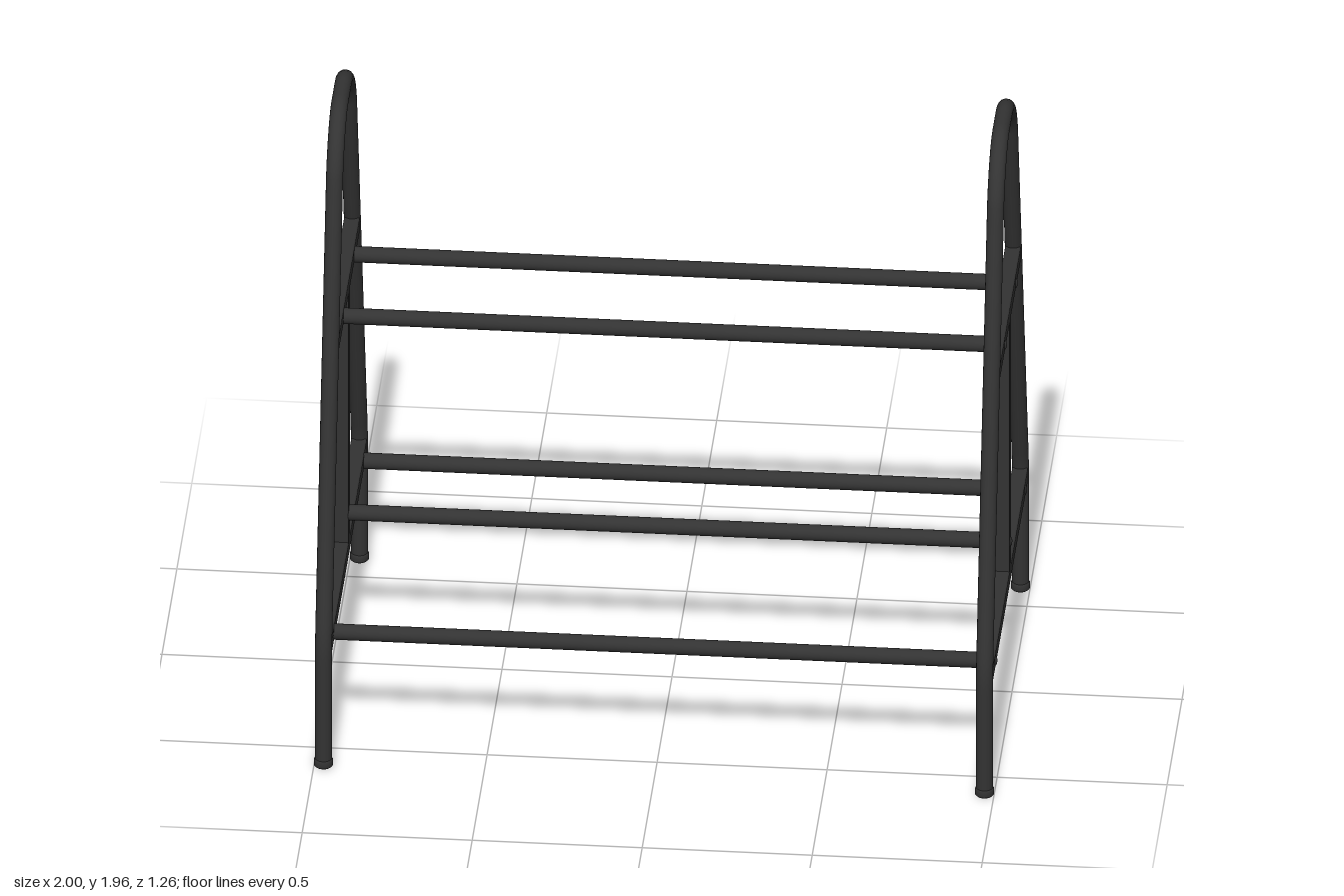
import * as THREE from 'three';
import { RoundedBoxGeometry } from 'three/addons/geometries/RoundedBoxGeometry.js';

const steel = new THREE.MeshStandardMaterial({ color: 0x333333 });
const SIDE_X = 0.972; // plane of each end frame
const R = 0.025;      // tube radius

function add(parent, name, geometry, x = 0, y = 0, z = 0) {
  const mesh = new THREE.Mesh(geometry, steel);
  mesh.name = name;
  mesh.position.set(x, y, z);
  parent.add(mesh);
  return mesh;
}

// Bent tube in the yz plane: leg, knee, slanted rail, arch, and the same mirrored
function hoopCurve() {
  const p = (z, y) => new THREE.Vector3(0, y, z);
  const path = new THREE.CurvePath();
  path.add(new THREE.LineCurve3(p(0.603, 0.01), p(0.603, 0.36)));
  path.add(new THREE.QuadraticBezierCurve3(p(0.603, 0.36), p(0.603, 0.42), p(0.587, 0.478)));
  path.add(new THREE.LineCurve3(p(0.587, 0.478), p(0.235, 1.77)));
  path.add(new THREE.CubicBezierCurve3(p(0.235, 1.77), p(0.218, 1.833), p(0.14, 1.93), p(0.05, 1.93)));
  path.add(new THREE.LineCurve3(p(0.05, 1.93), p(-0.05, 1.93)));
  path.add(new THREE.CubicBezierCurve3(p(-0.05, 1.93), p(-0.14, 1.93), p(-0.218, 1.833), p(-0.235, 1.77)));
  path.add(new THREE.LineCurve3(p(-0.235, 1.77), p(-0.587, 0.478)));
  path.add(new THREE.QuadraticBezierCurve3(p(-0.587, 0.478), p(-0.603, 0.42), p(-0.603, 0.36)));
  path.add(new THREE.LineCurve3(p(-0.603, 0.36), p(-0.603, 0.01)));
  return path;
}

export function createModel() {
  const model = new THREE.Group();
  model.name = 'rack';

  const hoop = new THREE.TubeGeometry(hoopCurve(), 180, R, 20);
  // Rubber foot with softened edges
  const foot = new THREE.LatheGeometry(
    [[0, 0], [0.024, 0], [0.028, 0.004], [0.028, 0.021], [0.025, 0.026], [0, 0.026]]
      .map(([r, y]) => new THREE.Vector2(r, y)), 20);
  const boltHead = new THREE.SphereGeometry(0.015, 16, 8, 0, Math.PI * 2, 0, Math.PI / 2);
  boltHead.scale(1, 0.45, 1);

  // Long bars as [y, z]
  const bars = [[1.28, 0.18], [1.28, -0.18], [0.51, 0], [0.395, 0.5], [0.395, -0.5]];

  for (const side of [1, -1]) {
    const frame = new THREE.Group();
    frame.name = side > 0 ? 'leftFrame' : 'rightFrame';
    frame.position.x = side * SIDE_X;
    model.add(frame);

    add(frame, 'hoop', hoop);
    for (const z of [0.603, -0.603]) add(frame, 'foot', foot, 0, 0, z);
    add(frame, 'upperCrossbar', new RoundedBoxGeometry(0.046, 0.052, 0.71, 2, 0.006), 0, 1.282, 0);
    add(frame, 'lowerCrossbar', new RoundedBoxGeometry(0.046, 0.052, 1.18, 2, 0.006), 0, 0.395, 0);
    add(frame, 'upright', new RoundedBoxGeometry(0.046, 0.87, 0.05, 2, 0.006), 0, 0.838, 0);

    // Bolt heads on the outer face, one per long bar
    for (const [y, z] of bars) {
      add(frame, 'boltHead', boltHead, side * 0.022, y, z).rotation.z = -side * Math.PI / 2;
    }
  }

  // Long round bars joining the two frames
  const bar = new THREE.CylinderGeometry(0.024, 0.024, 1.91, 20);
  bar.rotateZ(Math.PI / 2);
  for (const [y, z] of bars) add(model, 'longBar', bar, 0, y, z);

  return model;
}
